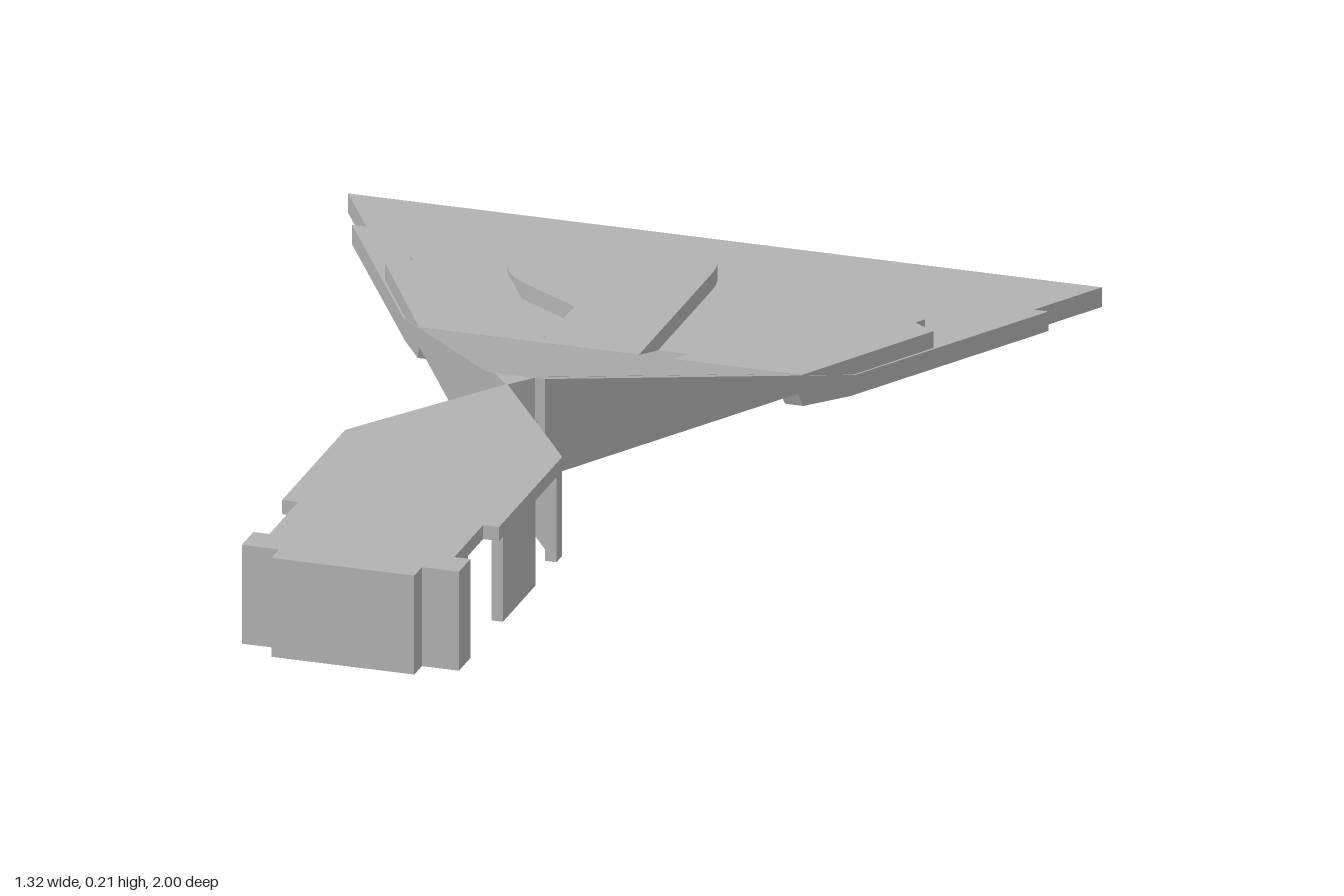
import * as THREE from 'three';

const grey = new THREE.MeshStandardMaterial({ color: 0xb2b2b2 });
grey.name = 'plain grey';

const TOP = 0.212, PLATE = 0.035, SKIN = 0.03, APEX = 0.14, K = 0.579;
const BEND = -0.5, CREST = 0.1;
// Height of the rear sheet above its flat end
const rise = z => THREE.MathUtils.clamp((z - BEND) / (CREST - BEND), 0, 1) * (TOP - PLATE);
const edgeX = z => K * (APEX - z);

const circle = (x, z, r, n = 32) => Array.from({ length: n }, (_, i) => {
  const a = i / n * Math.PI * 2;
  return [x + r * Math.cos(a), z + r * Math.sin(a)];
});
const toPoints = pts => pts.map(([x, z]) => new THREE.Vector2(x, -z));
const mirror = pts => pts.map(([x, z]) => [-x, z]);
// Shrinks an outline towards a centre
const shrink = (pts, cx, cz, f) => pts.map(([x, z]) => [cx + (x - cx) * f, cz + (z - cz) * f]);

function add(group, name, geometry) {
  geometry.computeVertexNormals();
  const mesh = new THREE.Mesh(geometry, grey);
  mesh.name = name;
  group.add(mesh);
}

// Upright prism from a plan outline of [x, z] points
function prism(pts, y0, y1, holes = [], lift = null) {
  const shape = new THREE.Shape(toPoints(pts));
  holes.forEach(h => shape.holes.push(new THREE.Path(toPoints(h))));
  const g = new THREE.ExtrudeGeometry(shape, { depth: y1 - y0, bevelEnabled: false });
  g.rotateX(-Math.PI / 2).translate(0, y0, 0);
  if (lift) {
    const p = g.attributes.position;
    for (let i = 0; i < p.count; i++) p.setY(i, p.getY(i) + lift(p.getZ(i)));
  }
  return g;
}

function arc(cx, cz, r, a0, a1, n = 10) {
  return Array.from({ length: n + 1 }, (_, i) => {
    const a = (a0 + (a1 - a0) * i / n) * Math.PI / 180;
    return [cx + r * Math.cos(a), cz + r * Math.sin(a)];
  });
}

function buildCanopy() {
  const group = new THREE.Group();
  group.name = 'frontCanopy';
  const half = [[0, APEX], [0.16, 0.375], [0.19, 0.42], [0.19, 0.75], [0.162, 0.75],
    [0.162, 0.9], [0.19, 0.9], [0.19, 0.96], [0.125, 0.96], [0.125, 1]];
  const outline = [...half, ...mirror(half.slice(1)).reverse()];
  const screws = [-0.065, 0.065];
  add(group, 'canopyTop', prism(outline, 0.187, TOP, screws.map(x => circle(x, 0.285, 0.035))));
  screws.forEach(x =>
    add(group, 'screwSeat', prism(circle(x, 0.285, 0.037), 0.187, 0.2, [circle(x, 0.285, 0.02)])));

  // Side walls, left open between these stretches of z
  const stretches = [[APEX, 0.245], [0.31, 0.45], [0.56, 0.73], [0.83, 1]];
  const t = 0.02;
  for (const s of [1, -1]) {
    for (let i = 0; i < half.length - 1; i++) {
      const [a, b] = [half[i], half[i + 1]];
      const dx = b[0] - a[0], dz = b[1] - a[1], len = Math.hypot(dx, dz);
      const nx = -dz / len * t, nz = dx / len * t;
      for (const [lo, hi] of stretches) {
        let f0 = 0, f1 = 1;
        if (Math.abs(dz) > 1e-6) {
          f0 = Math.max(0, (lo - a[1]) / dz);
          f1 = Math.min(1, (hi - a[1]) / dz);
        } else if (a[1] < lo || a[1] > hi) continue;
        if (f1 - f0 < 1e-4) continue;
        const p = [a[0] + dx * f0, a[1] + dz * f0], q = [a[0] + dx * f1, a[1] + dz * f1];
        // The narrow point has no room for a full-thickness wall
        const inner = [[q[0] + nx, q[1] + nz], [p[0] + nx, p[1] + nz]]
          .map(([x, z]) => [Math.max(0, x), z]);
        add(group, 'canopyWall', prism([p, q, ...inner].map(([x, z]) => [s * x, z]), PLATE, 0.19));
      }
    }
  }
  add(group, 'canopyFrontWall', prism([[-0.125, 0.98], [0.125, 0.98], [0.125, 1], [-0.125, 1]], PLATE, 0.19));
  return group;
}

function buildTail() {
  const group = new THREE.Group();
  group.name = 'rearTriangle';

  // Raised pads, hollow below
  const wing = [[0.11, -0.4], [0.325, -0.765], [0.45, -0.7], [0.44, -0.682], [0.48, -0.655], [0.335, -0.4]];
  const wingHollow = [[0.2, -0.51], [0.32, -0.73], [0.42, -0.67], [0.34, -0.51]];
  const pad = [[0.05, -0.4], [-0.12, -0.4], [-0.12, -0.57], [-0.235, -0.645],
    ...arc(-0.16, -0.75, 0.13, 140, 180, 4), ...arc(-0.13, -0.76, 0.16, 180, 270),
    ...arc(-0.08, -0.79, 0.13, 270, 360)];
  const padHollow = shrink(pad, -0.1, -0.72, 0.65);
  const padTop = 0.065;
  add(group, 'roundedPad', prism(pad, PLATE - 0.003, padTop));
  add(group, 'leftWingPad', prism(wing, PLATE - 0.003, padTop));
  add(group, 'rightWingPad', prism(mirror(wing), PLATE - 0.003, padTop));

  // Flat back plate, then the sloped sheet, then the level tip
  const w = edgeX(BEND), c = edgeX(CREST);
  const holes = [circle(0.515, -0.92, 0.042), circle(-0.515, -0.92, 0.042),
    wingHollow, mirror(wingHollow), padHollow];
  add(group, 'backPlate', prism([[-0.66, -1], [0.66, -1], [w, BEND], [-w, BEND]], 0, PLATE, holes));
  add(group, 'slopedSheet', prism([[-w, BEND], [w, BEND], [c, CREST], [-c, CREST]],
    PLATE - SKIN, PLATE, [], rise));
  add(group, 'tip', prism([[-0.035, CREST], [0.035, CREST], [0, APEX + 0.004]], PLATE, TOP));

  // Side rails: a side profile of [z, y] slanted along the triangle's edges
  const profile = [[0.095, TOP - 0.002], [BEND, PLATE], [-0.87, PLATE], [-0.87, 0],
    [-0.49, 0], [-0.4, 0.01], [-0.39, PLATE], [0.095, PLATE]];
  for (const s of [1, -1]) {
    const shape = new THREE.Shape(profile.map(p => new THREE.Vector2(...p)));
    const depth = 0.032;
    const g = new THREE.ExtrudeGeometry(shape, { depth, bevelEnabled: false });
    g.translate(0, 0, -depth / 2).rotateY(-Math.PI / 2);
    const p = g.attributes.position;
    for (let i = 0; i < p.count; i++) p.setX(i, p.getX(i) + s * (edgeX(p.getZ(i)) + 0.009));
    add(group, s > 0 ? 'leftRail' : 'rightRail', g);
  }
  return group;
}

export function createModel() {
  const model = new THREE.Group();
  model.name = 'triangularBracket';
  model.add(buildCanopy(), buildTail());
  return model;
}
